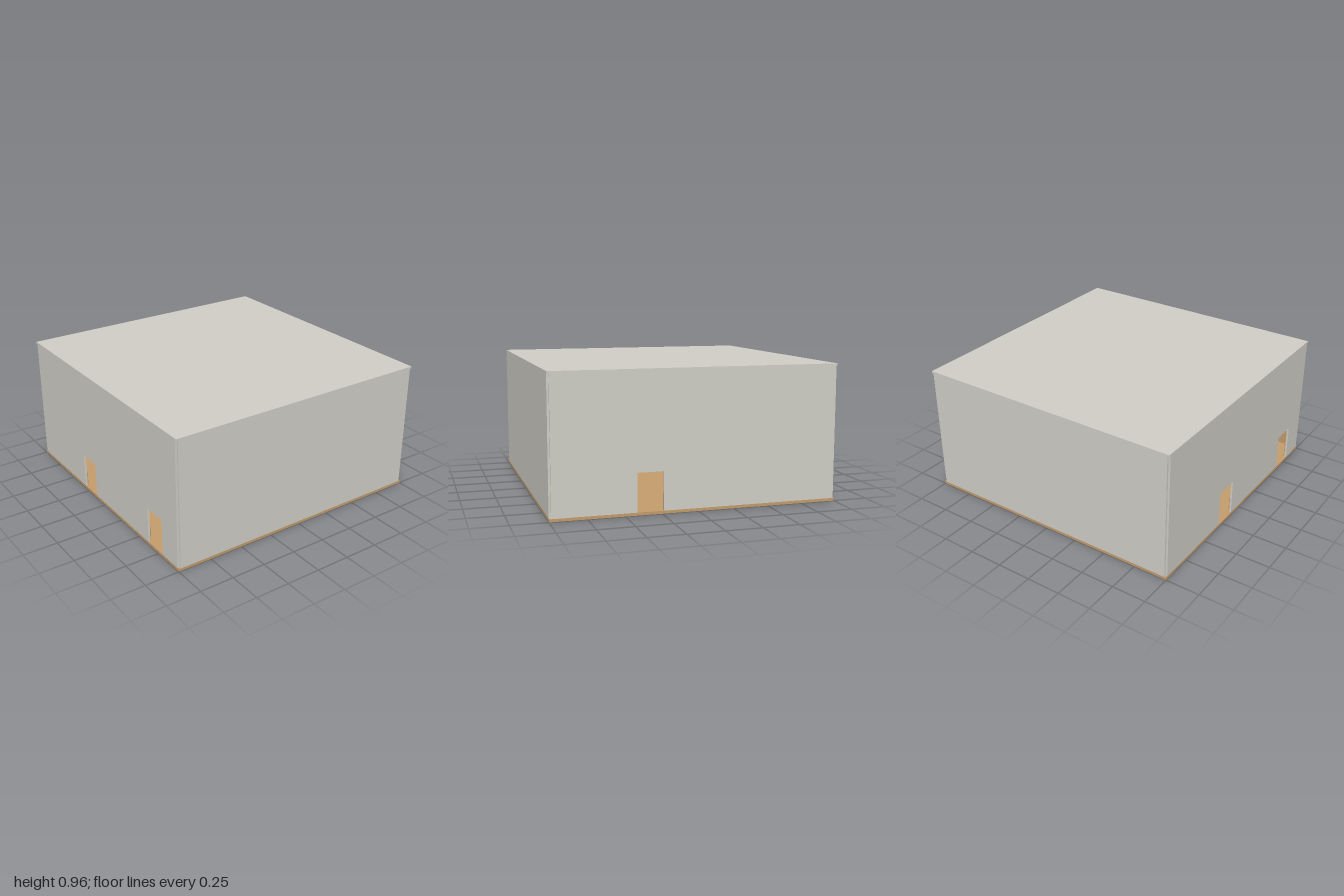
import * as THREE from 'three';

const grey = new THREE.MeshStandardMaterial({ color: 0xd0cec6 });
const wood = new THREE.MeshStandardMaterial({ color: 0xc49c6c });

const FLOOR = 0.02, ROOF = 0.945, TOP = 0.96, THICK = 0.014;
const DOOR_TOP = 0.285, WAINSCOT_TOP = 0.14;
const INNER = 1 - THICK;

function box(name, w, h, d, x, y, z, material) {
  const mesh = new THREE.Mesh(new THREE.BoxGeometry(w, h, d), material);
  mesh.name = name;
  mesh.position.set(x, y, z);
  return mesh;
}

// Flat wall with door notches cut from its lower edge; doors are [from, to] along the wall
function panel(name, bottom, top, doors, depth, material) {
  const shape = new THREE.Shape();
  shape.moveTo(-INNER, bottom);
  for (const [a, b] of doors) {
    const h = Math.min(DOOR_TOP, top);
    shape.lineTo(a, bottom);
    shape.lineTo(a, h);
    shape.lineTo(b, h);
    shape.lineTo(b, bottom);
  }
  shape.lineTo(INNER, bottom);
  shape.lineTo(INNER, top);
  shape.lineTo(-INNER, top);
  const mesh = new THREE.Mesh(
    new THREE.ExtrudeGeometry(shape, { depth, bevelEnabled: false }), material);
  mesh.name = name;
  return mesh;
}

// Wall, plus short wooden boards lining the foot of its inner side between the doors
function wall(name, doors, angle) {
  const group = new THREE.Group();
  group.name = name;
  const outer = panel(name + 'Panel', FLOOR, ROOF, doors, THICK, grey);
  outer.position.z = INNER;
  group.add(outer);
  const stops = [-INNER, ...doors.flat(), INNER];
  for (let i = 0; i < stops.length; i += 2) {
    const a = stops[i], b = stops[i + 1];
    group.add(box('wainscot', b - a, WAINSCOT_TOP - FLOOR, 0.006,
      (a + b) / 2, (WAINSCOT_TOP + FLOOR) / 2, INNER - 0.003, wood));
  }
  group.rotation.y = angle;
  return group;
}

export function createModel() {
  const model = new THREE.Group();
  model.name = 'hall';

  // Floor and roof slabs
  model.add(box('floor', 2, FLOOR, 2, 0, FLOOR / 2, 0, wood));
  model.add(box('roof', 2, TOP - ROOF, 2, 0, (TOP + ROOF) / 2, 0, grey));

  // Four walls that leave a small open notch at each corner
  model.add(wall('frontWall', [], 0));
  model.add(wall('backWall', [], Math.PI));
  model.add(wall('leftWall', [[-0.42, -0.24]], Math.PI / 2));
  model.add(wall('rightWall', [[-0.30, -0.12], [0.62, 0.80]], -Math.PI / 2));

  return model;
}
